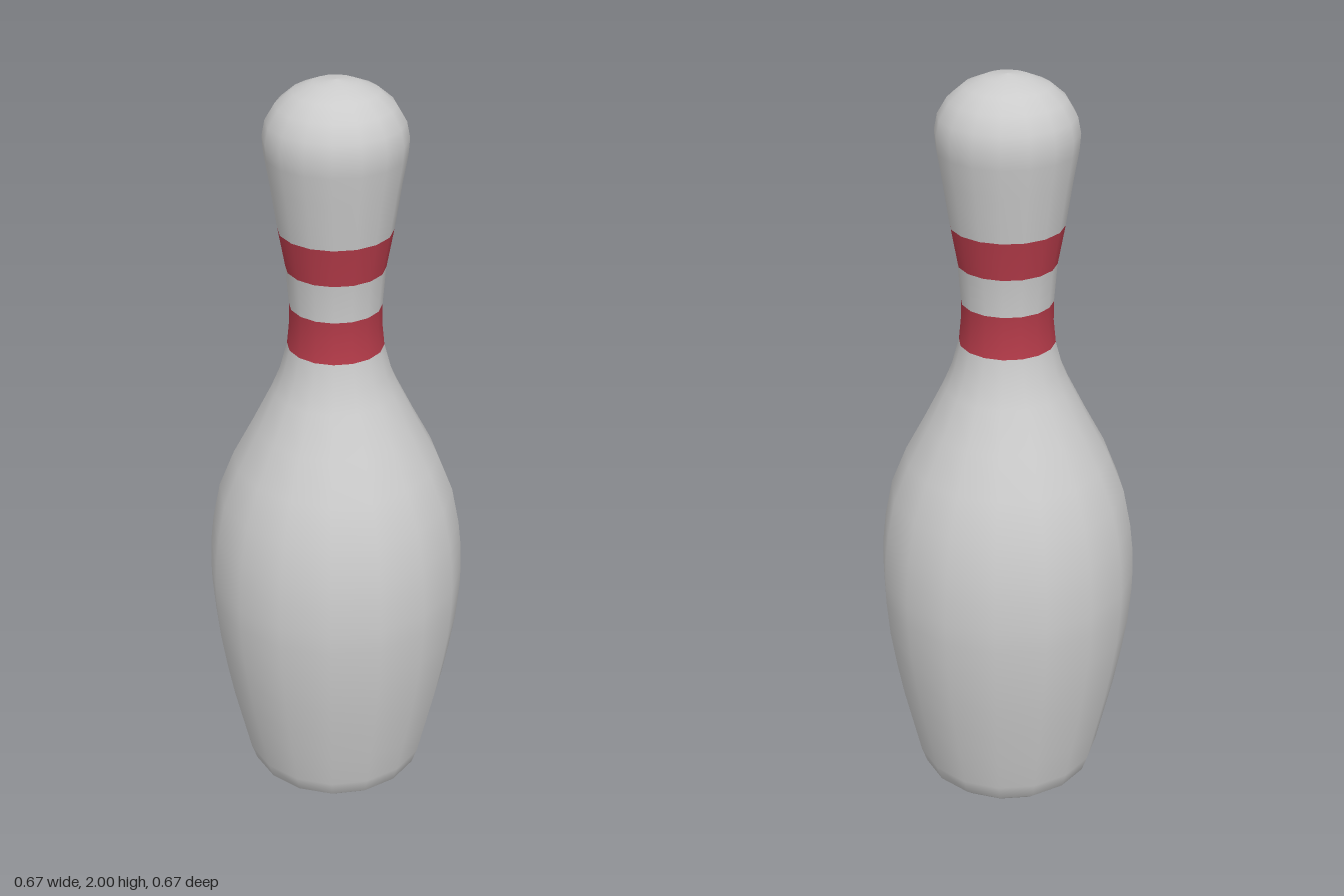
import * as THREE from 'three';

const SIDES = 16;

// Outline of the pin as [radius, height], from the base up to the crown
const PROFILE = [
  [0, 0], [0.13, 0.008], [0.2, 0.024], [0.235, 0.055], [0.25, 0.1],
  [0.272, 0.2], [0.294, 0.3], [0.312, 0.4], [0.327, 0.5], [0.335, 0.6],
  [0.336, 0.66], [0.333, 0.73], [0.325, 0.8], [0.305, 0.9], [0.265, 1.0],
  [0.212, 1.1], [0.162, 1.2], [0.141, 1.25], [0.122, 1.32],
  [0.116, 1.38], [0.116, 1.43],
  [0.124, 1.53],
  [0.142, 1.63],
  [0.16, 1.75], [0.172, 1.82], [0.175, 1.86], [0.167, 1.9], [0.143, 1.94],
  [0.105, 1.972], [0.055, 1.993], [0, 2],
].map(([r, y]) => new THREE.Vector2(r, y));

// Keeps only the rows of the lathe between two heights, so normals run on across the joins
function band(lathe, bottom, top) {
  const rows = PROFILE.length - 1;
  const kept = [];
  for (let i = 0; i < SIDES; i++) {
    for (let j = 0; j < rows; j++) {
      if (PROFILE[j].y < bottom || PROFILE[j + 1].y > top) continue;
      const start = (i * rows + j) * 6;
      for (let k = 0; k < 6; k++) kept.push(lathe.index.getX(start + k));
    }
  }
  const part = lathe.clone();
  part.setIndex(kept);
  return part.toNonIndexed();
}

export function createModel() {
  const group = new THREE.Group();
  group.name = 'bowlingPin';
  const white = new THREE.MeshStandardMaterial({ color: 0xcccccc });
  const red = new THREE.MeshStandardMaterial({ color: 0xb23a48 });
  const lathe = new THREE.LatheGeometry(PROFILE, SIDES);

  // White body, neck and head with two red stripes between them
  const parts = [
    ['body', 0, 1.32, white],
    ['lowerStripe', 1.32, 1.43, red],
    ['neck', 1.43, 1.53, white],
    ['upperStripe', 1.53, 1.63, red],
    ['head', 1.63, 2, white],
  ];
  for (const [name, bottom, top, material] of parts) {
    const mesh = new THREE.Mesh(band(lathe, bottom, top), material);
    mesh.name = name;
    group.add(mesh);
  }
  return group;
}
